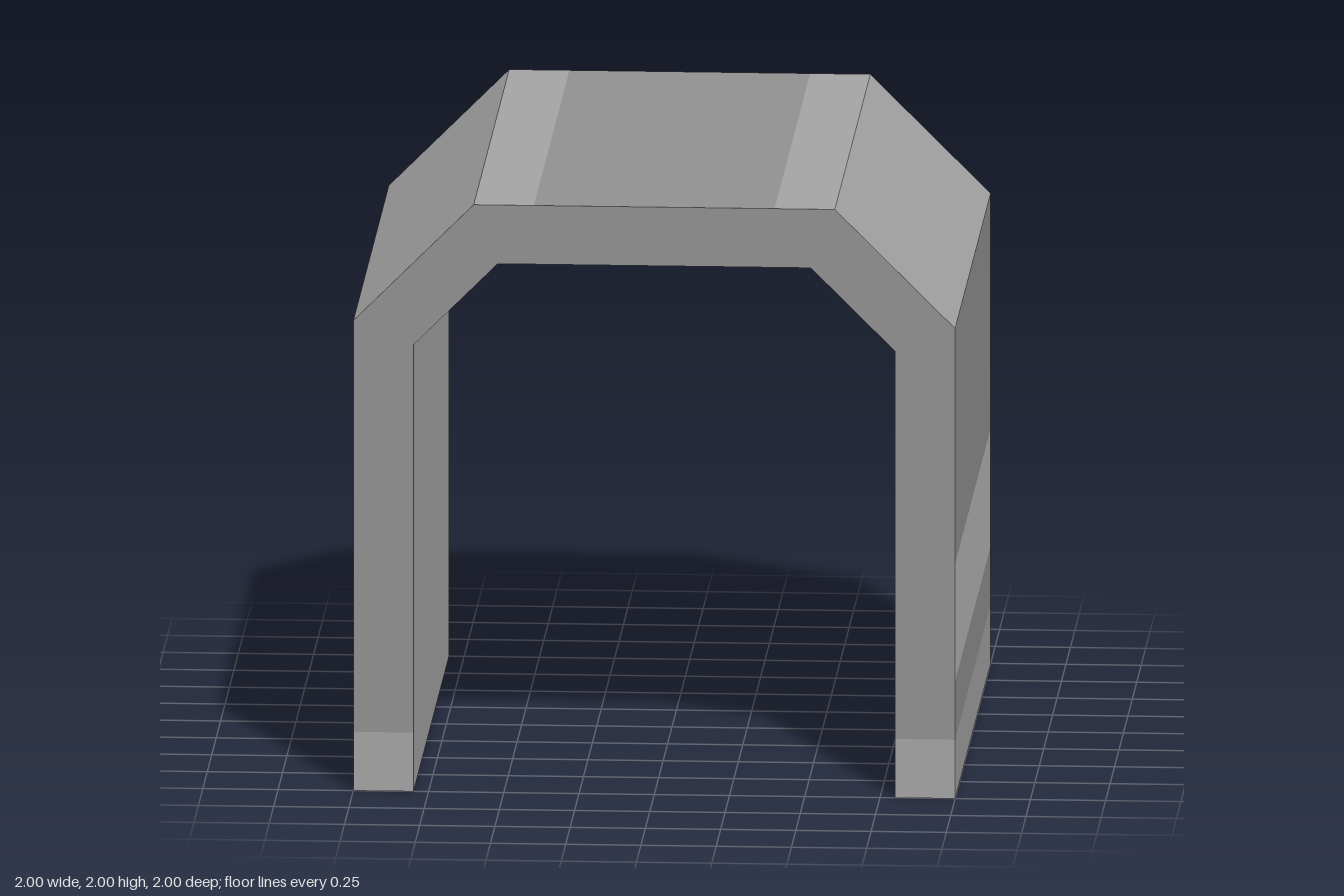
import * as THREE from 'three';

const HALF_LENGTH = 1;
const dark = new THREE.MeshStandardMaterial({ color: 0x909090 });
const mid = new THREE.MeshStandardMaterial({ color: 0xa3a3a3 });
const light = new THREE.MeshStandardMaterial({ color: 0xb5b5b5 });

// Outline of the left half, anticlockwise from the inside foot: each strip ends at x, y
const START = [0.8, 0];
const STRIPS = [
  ['Sole', 1, 0, mid],
  ['FootBand', 1, 0.2, mid],
  ['LowerWall', 1, 0.4, dark],
  ['WallBand', 1, 0.8, light],
  ['UpperWall', 1, 1.6, dark],
  ['RoofSlope', 0.6, 2, mid],
  ['RoofStripe', 0.4, 2, mid],
  ['RoofTop', 0, 2, dark],
];
const INNER_START = [0, 1.8];
const INNER_STRIPS = [
  ['Ceiling', 0.52, 1.8, mid],
  ['InnerSlope', 0.8, 1.52, mid],
  ['InnerWall', 0.8, 0, mid],
];

// Flat strip running the whole length between two outline points
function makeStrip(name, [ax, ay], [bx, by], material) {
  const z = HALF_LENGTH;
  const geometry = new THREE.BufferGeometry();
  geometry.setAttribute('position', new THREE.Float32BufferAttribute(
    [ax, ay, z, ax, ay, -z, bx, by, -z, bx, by, z], 3));
  geometry.setIndex([0, 1, 2, 0, 2, 3]);
  geometry.computeVertexNormals();
  const strip = new THREE.Mesh(geometry, material);
  strip.name = name;
  return strip;
}

// Flat end face from a list of points
function makeFace(name, points, material) {
  const shape = new THREE.Shape(points.map(([x, y]) => new THREE.Vector2(x, y)));
  const face = new THREE.Mesh(new THREE.ShapeGeometry(shape), material);
  face.name = name;
  face.position.z = HALF_LENGTH;
  return face;
}

const mirror = (points) => points.map(([x, y]) => [-x, y]).reverse();

export function createModel() {
  const group = new THREE.Group();

  // Long walls, roof and inside, mirrored left and right
  for (const [start, strips] of [[START, STRIPS], [INNER_START, INNER_STRIPS]]) {
    let a = start;
    for (const [name, x, y, material] of strips) {
      const b = [x, y];
      group.add(makeStrip('left' + name, a, b, material));
      group.add(makeStrip('right' + name, ...mirror([a, b]), material));
      a = b;
    }
  }

  // Front and back ends: arch above, paler feet below
  const outer = [[0.8, 0.2], [1, 0.2], [1, 1.6], [0.6, 2]];
  const inner = [[0.52, 1.8], [0.8, 1.52]];
  const foot = [[0.8, 0], [1, 0], [1, 0.2], [0.8, 0.2]];
  for (const [name, turn] of [['front', 0], ['back', Math.PI]]) {
    const end = new THREE.Group();
    end.name = name + 'End';
    end.rotation.y = turn;
    end.add(makeFace(name + 'Arch', [...outer, ...mirror(outer), ...mirror(inner), ...inner], dark));
    end.add(makeFace(name + 'Foot', foot, mid));
    end.add(makeFace(name + 'OppositeFoot', mirror(foot), mid));
    group.add(end);
  }
  return group;
}
